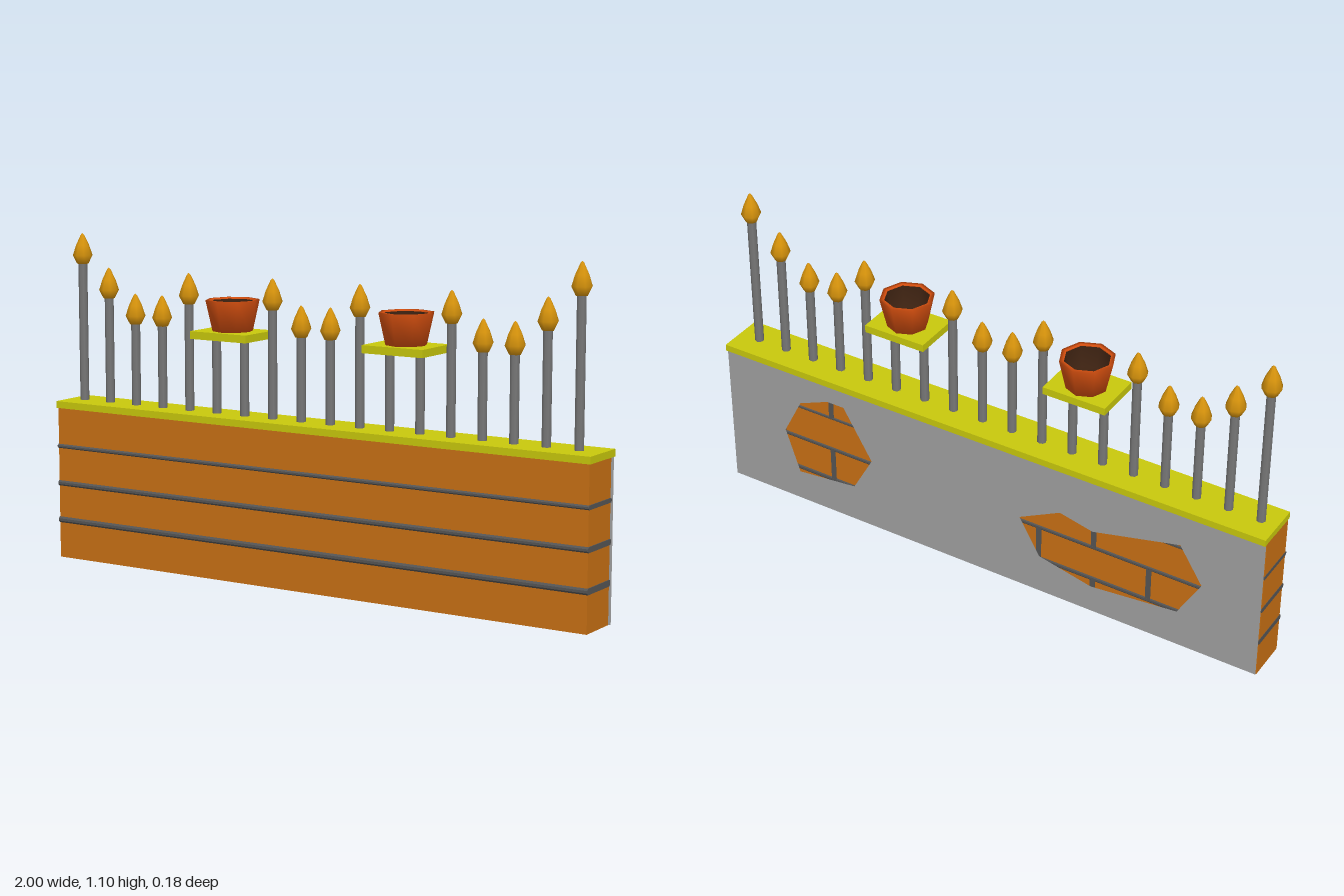
import * as THREE from 'three';

const material = (color, extra = {}) => {
  const m = new THREE.MeshStandardMaterial({ color, ...extra });
  return m;
};

export function createModel() {
  const model = new THREE.Group();
  const brick = material(0xc87014);
  const mortar = material(0x555555);
  const plaster = material(0xa0a0a0, { side: THREE.DoubleSide });
  const stone = material(0xc8c80c);
  const iron = material(0x777777);
  const gold = material(0xd8940c);
  const clay = material(0xd8500f);
  const soil = material(0x3a2010, { side: THREE.DoubleSide });

  const add = (name, geometry, mat, x = 0, y = 0, z = 0) => {
    const mesh = new THREE.Mesh(geometry, mat);
    mesh.name = name;
    mesh.position.set(x, y, z);
    model.add(mesh);
    return mesh;
  };
  // Box given by its limits on each axis
  const box = (name, mat, [x0, x1], [y0, y1], [z0, z1]) =>
    add(name, new THREE.BoxGeometry(x1 - x0, y1 - y0, z1 - z0), mat,
      (x0 + x1) / 2, (y0 + y1) / 2, (z0 + z1) / 2);

  // Brick wall and coping
  const capZ = [-0.08, 0.086];
  box('brickWall', brick, [-1, 0.993], [0, 0.515], [-0.067, 0.076]);
  box('coping', stone, [-1, 1], [0.514, 0.537], capZ);

  // Bed joints: bands with chamfered front and back edges
  const joints = [[0.13, 0.01], [0.256, 0.009], [0.383, 0.007]];
  for (const [y, h] of joints) {
    const profile = new THREE.Shape([
      [-0.082, 0.4], [-0.077, 1], [0.066, 1], [0.0696, 0.4],
      [0.0696, -0.4], [0.066, -1], [-0.077, -1], [-0.082, -0.4],
    ].map(([z, k]) => new THREE.Vector2(z, k * h)));
    const g = new THREE.ExtrudeGeometry(profile, { depth: 1.997, bevelEnabled: false });
    g.rotateY(Math.PI / 2);
    add('bedJoint', g, mortar, -1.001, y);
  }

  // Staggered upright joints on the back
  const courses = [0, 0.13, 0.256, 0.383, 0.514];
  for (let c = 0; c < 4; c++) {
    for (let x = c % 2 ? -0.61 : -0.81; x < 0.95; x += 0.399) {
      box('uprightJoint', mortar, [x - 0.009, x + 0.009], [courses[c], courses[c + 1]], [-0.0695, -0.06]);
    }
  }

  // Plaster skin on the back with two broken-away patches
  const toPoints = (list) => list.map(([x, y]) => new THREE.Vector2(x, y));
  const skin = new THREE.Shape(toPoints([[-0.999, 0], [1, 0], [1, 0.515], [-0.999, 0.515]]));
  const patches = [
    [[0.71, 0.4], [0.6, 0.446], [0.535, 0.446], [0.43, 0.268], [0.504, 0.136], [0.726, 0.112], [0.778, 0.268]],
    [[-0.14, 0.27], [-0.288, 0.347], [-0.407, 0.32], [-0.715, 0.395], [-0.795, 0.268],
      [-0.715, 0.13], [-0.407, 0.098], [-0.214, 0.141]],
  ];
  for (const p of patches) skin.holes.push(new THREE.Path(toPoints(p)));
  add('plaster', new THREE.ShapeGeometry(skin), plaster, 0, 0, -0.0705);

  // Railing: bars with pointed finials; null marks a bar under a shelf
  const tips = [1.1, 0.99, 0.91, 0.91, 0.99, null, null, 0.99, 0.91];
  const finial = new THREE.LatheGeometry(toPoints([
    [0, 0], [0.019, 0], [0.033, 0.028], [0.022, 0.062], [0.006, 0.096], [0, 0.102],
  ]), 8);
  for (let i = 0; i < 18; i++) {
    const tip = tips[i < 9 ? i : 17 - i];
    const x = -0.943 + i * 0.1097;
    const top = tip ? tip - 0.09 : 0.79;
    add('bar', new THREE.CylinderGeometry(0.015, 0.015, top - 0.53, 8), iron, x, (top + 0.53) / 2, 0.004);
    if (tip) add('finial', finial, gold, x, tip - 0.102, 0.004);
  }

  // Shelves with flower pots
  const pot = new THREE.LatheGeometry(toPoints([
    [0, 0], [0.066, 0], [0.089, 0.102], [0.075, 0.102], [0.074, 0.097],
  ]), 8);
  const inside = new THREE.LatheGeometry(toPoints([[0.0745, 0.098], [0.06, 0.03], [0, 0.03]]), 8);
  for (const x of [-0.333, 0.32]) {
    box('shelf', stone, [x - 0.109, x + 0.109], [0.786, 0.811], capZ);
    add('pot', pot, clay, x, 0.81, 0);
    add('potInside', inside, soil, x, 0.81, 0);
  }

  return model;
}
